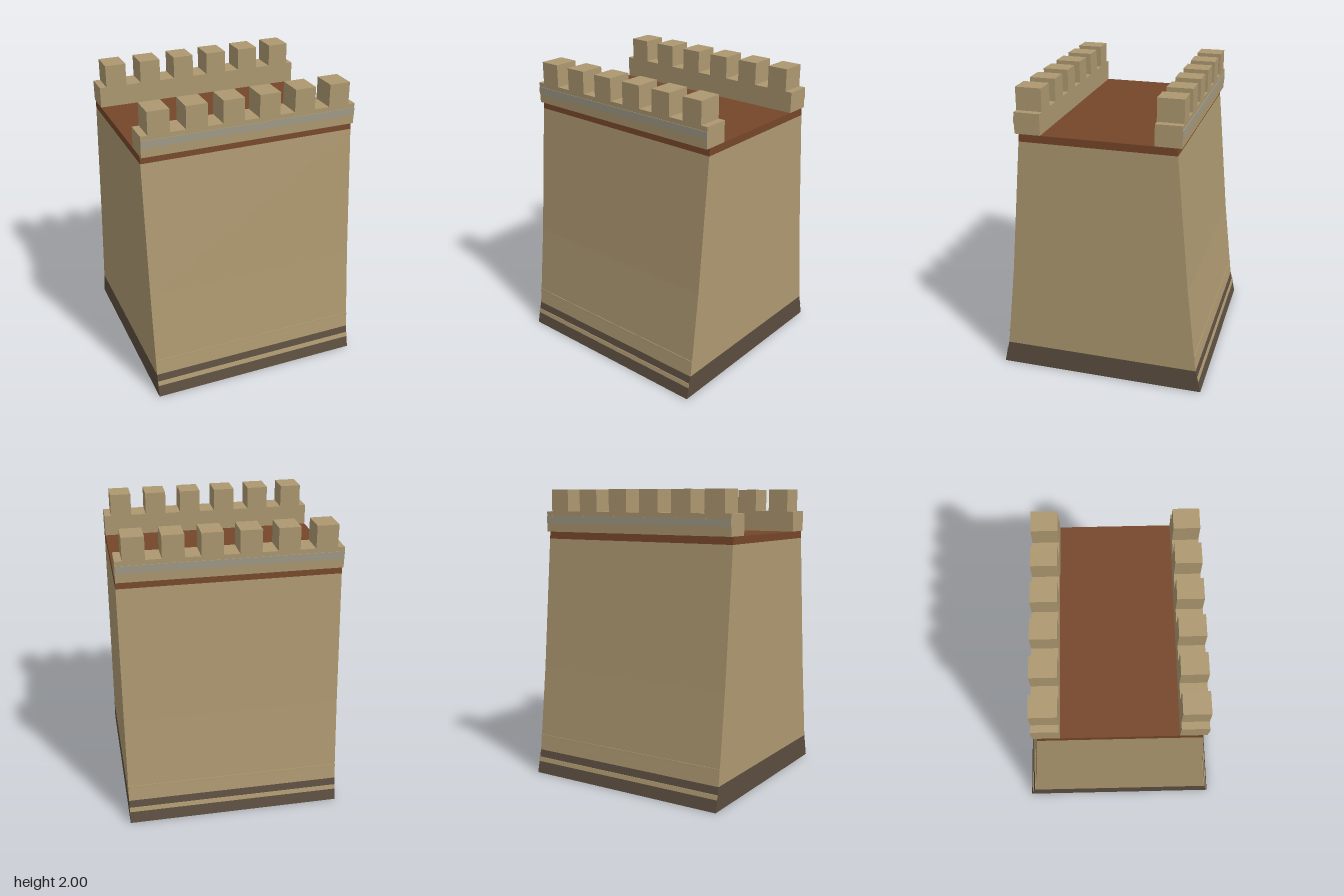
import * as THREE from 'three';

const LENGTH = 1.46;
// Half thickness of the battered wall at each height: [y, z]
const PROFILE = [[0, 0.705], [0.16, 0.668], [0.25, 0.656], [0.75, 0.598], [1.66, 0.513], [1.71, 0.508]];

const material = (name, color) => {
  const m = new THREE.MeshStandardMaterial({ color });
  m.name = name;
  return m;
};

// Half thickness at any height
function halfAt(y) {
  for (let i = 1; i < PROFILE.length; i++) {
    const [y0, z0] = PROFILE[i - 1], [y1, z1] = PROFILE[i];
    if (y <= y1) return z0 + (z1 - z0) * (y - y0) / (y1 - y0);
  }
  return PROFILE[PROFILE.length - 1][1];
}

// Extrude a [z, y] outline along x
function extrudeAlongX(points) {
  const shape = new THREE.Shape(points.map(([z, y]) => new THREE.Vector2(-z, y)));
  const geo = new THREE.ExtrudeGeometry(shape, { depth: LENGTH, bevelEnabled: false });
  geo.translate(0, 0, -LENGTH / 2);
  return geo.rotateY(Math.PI / 2);
}

// Symmetric slice of the wall between two heights
function slice(y0, y1) {
  const ys = [y0, ...PROFILE.map(p => p[0]).filter(y => y > y0 && y < y1), y1];
  const front = ys.map(y => [halfAt(y), y]);
  const back = ys.map(y => [-halfAt(y), y]).reverse();
  return extrudeAlongX([...front, ...back]);
}

// Thin plate lying on the sloped face of one side
function band(y0, y1, side, t = 0.004) {
  const a = halfAt(y0), b = halfAt(y1);
  return extrudeAlongX([[a, y0], [a + t, y0], [b + t, y1], [b, y1]].map(([z, y]) => [z * side, y]));
}

export function createModel() {
  const stone = material('sandstone', 0xad9870);
  const dark = material('dark plinth', 0x5b4d3f);
  const red = material('red brick', 0x754629);
  const grey = material('grey trim', 0xa09a86);

  const model = new THREE.Group();
  model.name = 'castleWall';
  const add = (name, geo, mat, parent = model) => {
    const mesh = new THREE.Mesh(geo, mat);
    mesh.name = name;
    parent.add(mesh);
    return mesh;
  };

  // Main layers from the ground up
  add('plinth', slice(0, 0.16), dark);
  add('wallBody', slice(0.16, 1.66), stone);
  add('walkway', slice(1.66, 1.71), red);

  for (const side of [1, -1]) {
    const label = side > 0 ? 'front' : 'back';

    // Raised courses on the lower face
    add(label + 'PlinthStripe', band(0.08, 0.11, side), stone);
    add(label + 'StringCourse', band(0.25, 0.27, side), stone);

    // Parapet with merlons and a trim stripe
    const parapet = new THREE.Group();
    parapet.name = label + 'Parapet';
    parapet.position.z = side * 0.452;
    model.add(parapet);
    add('parapetWall', new THREE.BoxGeometry(LENGTH, 0.14, 0.17), stone, parapet).position.y = 1.78;
    add('trimStripe', new THREE.BoxGeometry(LENGTH, 0.05, 0.004), grey, parapet)
      .position.set(0, 1.795, side * 0.087);
    for (let i = 0; i < 6; i++) {
      add('merlon', new THREE.BoxGeometry(0.142, 0.15, 0.17), stone, parapet)
        .position.set((i - 2.5) * 0.245, 1.925, 0);
    }
  }
  return model;
}
